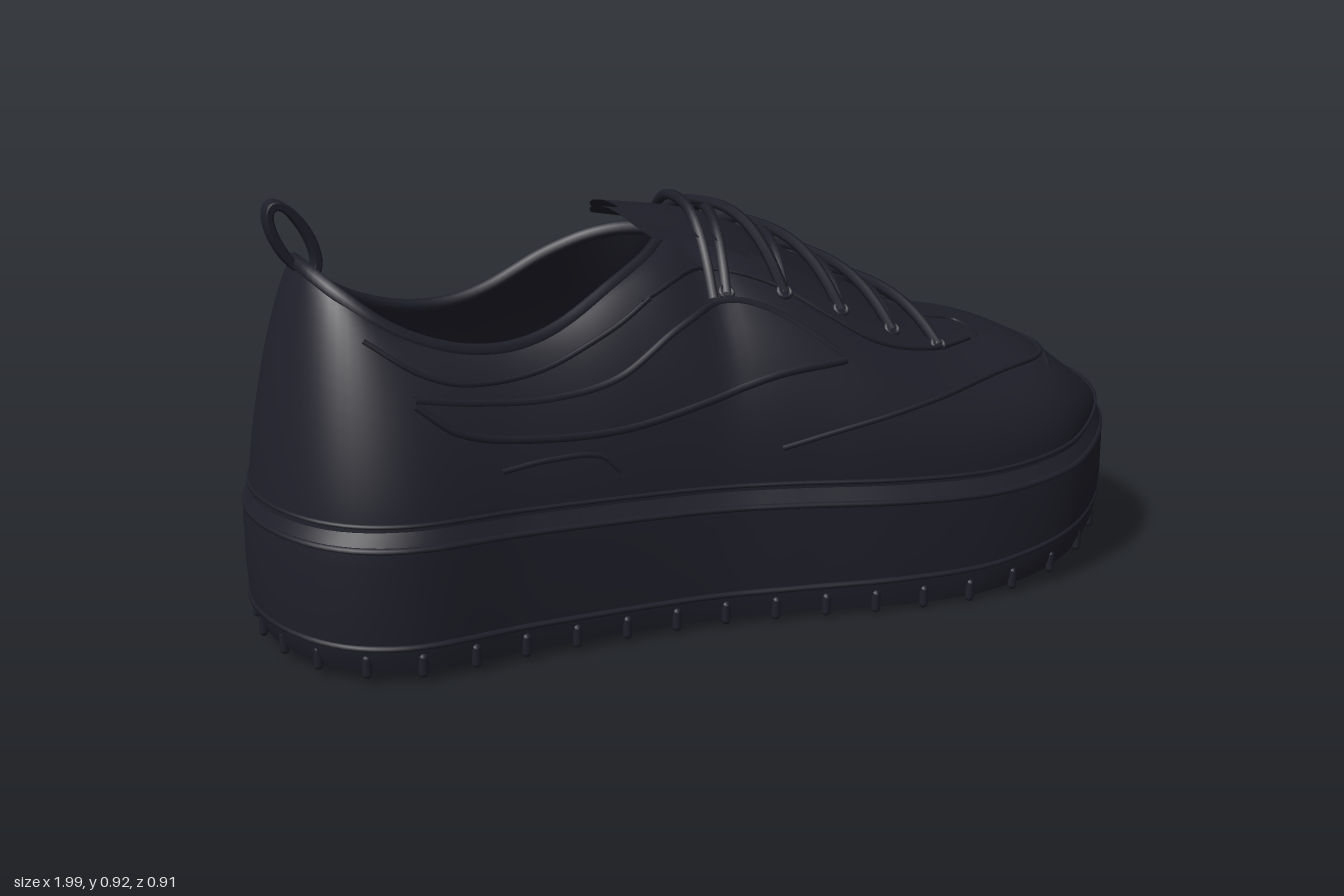
import * as THREE from 'three';

const dark = new THREE.MeshStandardMaterial({ color: 0x1f1f2a, side: THREE.DoubleSide });
dark.name = 'midnight';

// Smooth 1D curve through [x, value] points
function spline(p) {
  const slope = (i) => {
    const a = p[Math.max(i - 1, 0)], b = p[Math.min(i + 1, p.length - 1)];
    return (b[1] - a[1]) / (b[0] - a[0]);
  };
  return (x) => {
    x = Math.min(Math.max(x, p[0][0]), p[p.length - 1][0]);
    let i = 0;
    while (i < p.length - 2 && x > p[i + 1][0]) i++;
    const h = p[i + 1][0] - p[i][0], t = (x - p[i][0]) / h, t2 = t * t, t3 = t2 * t;
    return (2 * t3 - 3 * t2 + 1) * p[i][1] + (t3 - 2 * t2 + t) * h * slope(i)
      + (3 * t2 - 2 * t3) * p[i + 1][1] + (t3 - t2) * h * slope(i + 1);
  };
}

// Footprint, heel -> +z side -> toe -> -z side
const N = 180, INSET_X = 0.985, INSET_Z = 0.957;
const outline = new THREE.CatmullRomCurve3([
  [-0.995, 0], [-0.965, 0.16], [-0.89, 0.275], [-0.77, 0.332], [-0.5, 0.324], [-0.1, 0.34], [0.08, 0.376],
  [0.3, 0.425], [0.55, 0.447], [0.75, 0.412], [0.9, 0.295], [0.975, 0.15], [0.995, 0], [0.97, -0.14],
  [0.89, -0.27], [0.74, -0.385], [0.55, -0.44], [0.3, -0.453], [0.08, -0.422], [-0.1, -0.386],
  [-0.5, -0.358], [-0.78, -0.34], [-0.89, -0.28], [-0.965, -0.16],
].map(([x, z]) => new THREE.Vector3(x, 0, z)), true);
const ring = outline.getSpacedPoints(N).slice(0, N);

const soleBottom = spline([[-1, 0.03], [-0.8, 0.024], [0, 0.018], [0.45, 0.012], [0.6, 0.024], [0.75, 0.05], [1, 0.11]]);
const soleTop = spline([[-1, 0.29], [0, 0.265], [0.5, 0.247], [0.75, 0.27], [0.9, 0.31], [1, 0.33]]);
const topX = spline([[-1, -0.87], [-0.95, -0.855], [-0.88, -0.82], [-0.75, -0.735], [-0.5, -0.492], [0, 0], [1, 0.985]]);
const topY = spline([[-1, 0.8], [-0.95, 0.783], [-0.88, 0.75], [-0.8, 0.71], [-0.7, 0.663], [-0.6, 0.634], [-0.5, 0.63],
  [-0.4, 0.655], [-0.25, 0.73], [-0.1, 0.785], [0, 0.79], [0.1, 0.765], [0.2, 0.715], [0.3, 0.66], [0.4, 0.61],
  [0.5, 0.57], [0.6, 0.548], [0.72, 0.525], [0.8, 0.495], [0.9, 0.425], [1, 0.355]]);
const topZ = spline([[-1, 0], [-0.97, 0.06], [-0.9, 0.13], [-0.8, 0.175], [-0.6, 0.21], [-0.35, 0.2], [-0.2, 0.16],
  [-0.12, 0.1], [-0.05, 0], [0, 0], [1, 0]]);
const crest = spline([[-1, 0], [-0.5, -0.01], [-0.1, -0.028], [0.1, -0.028], [0.4, -0.01], [0.7, 0], [1, 0]]);
const power = spline([[-1, 1.5], [-0.5, 1.4], [0, 0.95], [0.5, 0.85], [1, 0.85]]);

// Half cross-section of the upper at station s with footprint half width w
function section(s, w) {
  const yb = soleTop(s) + 0.025;
  return { xb: s * INSET_X, yb, w: w * INSET_Z, xt: topX(s), yt: Math.max(topY(s), yb + 0.004),
    zt: Math.min(topZ(s), w * 0.9), zc: crest(s), p: power(s) };
}
const sectionZ = (q, side, c) => side * (q.zt + (q.w - q.zt) * c) + q.zc * (1 - c);
function widthAt(x, side) {
  for (let i = 0; i < N; i++) {
    const a = ring[i], b = ring[(i + 1) % N];
    if ((a.z + b.z) * side > 0 && (a.x - x) * (b.x - x) <= 0 && a.x !== b.x)
      return Math.abs(a.z + (b.z - a.z) * (x - a.x) / (b.x - a.x));
  }
  return 0;
}
// Point on the side of the upper at (x, y), pushed out by d
function onSide(x, y, side, d) {
  const s = x / INSET_X, q = section(s, widthAt(s, side));
  const f = Math.min(Math.max((y - q.yb) / (q.yt - q.yb), 0), 1), sn = Math.pow(f, 1 / q.p);
  const c = Math.pow(Math.sqrt(Math.max(0, 1 - sn * sn)), q.p);
  return new THREE.Vector3(x, y + d * 0.4 * f, sectionZ(q, side, c) + side * d);
}
// Height of the closed vamp at (x, z)
function vampY(x, z) {
  const s = x / INSET_X, side = z < crest(s) ? -1 : 1, q = section(s, widthAt(s, side));
  const c = Math.pow(Math.min((z - q.zc) / (side * q.w - q.zc), 1), 1 / q.p);
  return q.yb + (q.yt - q.yb) * Math.pow(Math.sqrt(1 - c * c), q.p);
}

// Surface from a grid of points; fn(i, j) gives a Vector3
function grid(nu, nv, closed, fn) {
  const pos = [], idx = [], cols = closed ? nu : nu + 1;
  for (let j = 0; j <= nv; j++) for (let i = 0; i < cols; i++) pos.push(...fn(i, j).toArray());
  for (let j = 0; j < nv; j++) for (let i = 0; i < nu; i++) {
    const a = j * cols + i, b = j * cols + (i + 1) % cols;
    idx.push(a, b, b + cols, a, b + cols, a + cols);
  }
  const g = new THREE.BufferGeometry();
  g.setAttribute('position', new THREE.Float32BufferAttribute(pos, 3));
  g.setIndex(idx);
  g.computeVertexNormals();
  return g;
}

export function createModel() {
  const shoe = new THREE.Group();
  shoe.name = 'shoe';
  const V = (x, y, z) => new THREE.Vector3(x, y, z);
  const add = (name, geo) => {
    const m = new THREE.Mesh(geo, dark);
    m.name = name;
    shoe.add(m);
    return m;
  };
  const tube = (name, pts, r, closed = false, seg = 60) =>
    add(name, new THREE.TubeGeometry(new THREE.CatmullRomCurve3(pts, closed), seg, r, 6, closed));

  // Sole: wall, top ledge and underside
  const wall = [[0.975, 0], [0.99, 0.12], [0.996, 0.25], [1, 0.5], [1, 0.85], [0.995, 1]];
  add('soleWall', grid(N, wall.length - 1, true, (i, j) => {
    const p = ring[i], [k, t] = wall[j], b = soleBottom(p.x);
    return V(p.x * k, b + (soleTop(p.x) - b) * t, p.z * k);
  }));
  add('soleLedge', grid(N, 2, true, (i, j) => {
    const p = ring[i], t = j / 2;
    return V(p.x * (0.995 - 0.012 * t), soleTop(p.x) + 0.03 * t, p.z * (0.995 - 0.04 * t));
  }));
  add('outsole', grid(N, 6, true, (i, j) => {
    const p = ring[i];
    return V(p.x * 0.975, soleBottom(p.x), p.z * 0.975 * j / 6);
  }));
  const rim = (name, kx, kz, r, y) => tube(name, ring.filter((_, i) => i % 3 === 0).map((p) => V(p.x * kx, y(p.x), p.z * kz)), r, true, 180);
  rim('soleUpperRim', 0.994, 0.995, 0.007, (x) => soleTop(x) - 0.005);
  rim('soleLowerRim', 0.993, 0.994, 0.007, (x) => soleBottom(x) + 0.055 + 0.02 * Math.max(0, x));
  rim('foxingSeam', INSET_X, INSET_Z + 0.001, 0.005, (x) => soleTop(x) + 0.04);

  // Tread lugs around the bottom edge
  outline.getSpacedPoints(44).slice(0, 44).forEach((p) => {
    const lug = add('treadLug', new THREE.CapsuleGeometry(0.01, 0.032, 3, 8));
    lug.position.set(p.x * 0.982, soleBottom(p.x) + 0.015, p.z * 0.982);
  });

  // Upper
  add('upper', grid(N, 20, true, (i, j) => {
    const p = ring[i], q = section(p.x, Math.abs(p.z)), a = j / 20 * Math.PI / 2;
    const c = Math.pow(Math.max(0, Math.cos(a)), q.p), f = Math.pow(Math.sin(a), q.p);
    return V(q.xt + (q.xb - q.xt) * c, q.yb + (q.yt - q.yb) * f, sectionZ(q, Math.sign(p.z), c));
  }));

  // Padded collar, lining and insole
  const topEdgeZ = (p) => Math.sign(p.z) * Math.min(topZ(p.x), Math.abs(p.z) * 0.9) + crest(p.x);
  const collar = ring.filter((p) => p.x < -0.06);
  const front = collar.findIndex((p) => p.z < -0.01 && p.x > -0.2);
  const rimPts = [...collar.slice(front), ...collar.slice(0, front)].map((p) => V(topX(p.x), topY(p.x) - 0.006, topEdgeZ(p)));
  tube('collar', rimPts.filter((_, i) => i % 2 === 0), 0.016, false, 120);
  const floorY = 0.34;
  add('lining', grid(N, 10, true, (i, j) => {
    const p = ring[i], t = j / 10, k = Math.sin(t * Math.PI / 2), x = topX(p.x), z = topEdgeZ(p);
    const padding = 0.1 * Math.sin(Math.PI * t) * Math.max(0, -p.x - 0.6) / 0.4;
    return V(x + (p.x * 0.88 - x) * k + padding, (topY(p.x) - 0.012) * (1 - t) + floorY * t, z + (p.z * 0.8 - z) * k);
  }));
  add('insole', grid(N, 1, true, (i, j) => V(ring[i].x * 0.88, floorY, ring[i].z * 0.8 * (1 - j))));

  // Tongue
  const tongueMid = spline([[-0.19, 0.855], [0, 0.825], [0.1, 0.79], [0.2, 0.738], [0.3, 0.68], [0.44, 0.602]]);
  const tongueDrop = spline([[-0.19, 1.2], [0, 1.6], [0.2, 2.2], [0.44, 2.2]]);
  for (const [name, dy] of [['tongue', 0], ['tongueLining', -0.014]]) {
    add(name, grid(24, 14, false, (i, j) => {
      const v = j / 14 * 2 - 1, x0 = -0.185 + 0.03 * v ** 4, x = x0 + (0.43 - x0) * i / 24, z = -v * 0.165;
      return V(x, tongueMid(x) - tongueDrop(x) * z * z + dy, z + crest(x));
    }));
  }

  // Laces arching across between five pairs of eyelets
  const lace = (x0, z0, x1, z1, lift) => {
    const y0 = vampY(x0, z0), y1 = vampY(x1, z1);
    const rise = tongueMid((x0 + x1) / 2) + lift - (y0 + y1) / 2;
    tube('lace', Array.from({ length: 13 }, (_, k) => {
      const t = k / 12;
      return V(x0 + (x1 - x0) * t, y0 + (y1 - y0) * t + rise * (1 - Math.abs(2 * t - 1) ** 2.6), z0 + (z1 - z0) * t);
    }), 0.012, false, 32);
  };
  const eyelets = [-0.02, 0.11, 0.24, 0.36, 0.47];
  const eyeletZ = (i, s) => (s > 0 ? 0.205 + 0.014 * i : -0.26);
  eyelets.forEach((x, i) => {
    for (const s of [1, -1]) {
      const z = eyeletZ(i, s);
      if (i < 4) lace(x, z, eyelets[i + 1], eyeletZ(i + 1, -s), s > 0 ? 0.014 : 0.026);
      const eyelet = add('eyelet', new THREE.TorusGeometry(0.014, 0.005, 6, 14));
      eyelet.position.set(x, vampY(x, z) + 0.004, z);
      eyelet.rotation.x = -s * 0.67;
    }
  });
  lace(-0.05, eyeletZ(0, 1), 0, eyeletZ(0, -1), 0.022);
  lace(0.47, eyeletZ(4, 1), 0.47, eyeletZ(4, -1), 0.006);

  // Side panels and stitched seams, on both sides
  const panelTop = spline([[-0.72, 0.555], [-0.6, 0.535], [-0.45, 0.525], [-0.3, 0.55], [-0.15, 0.635], [-0.02, 0.672], [0.08, 0.64], [0.2, 0.552]]);
  const panelLow = spline([[-0.72, 0.545], [-0.64, 0.485], [-0.5, 0.455], [-0.3, 0.452], [-0.1, 0.49], [0.05, 0.53], [0.2, 0.545]]);
  const seams = [
    [[0.04, 0.38], [0.2, 0.415], [0.4, 0.45], [0.6, 0.475], [0.8, 0.478]],
    [[-0.22, 0.69], [-0.1, 0.73], [0, 0.725], [0.1, 0.69], [0.2, 0.625], [0.3, 0.565], [0.45, 0.53], [0.58, 0.525]],
    [[-0.8, 0.67], [-0.7, 0.6], [-0.6, 0.57], [-0.45, 0.58], [-0.3, 0.64], [-0.2, 0.695]],
    [[-0.56, 0.4], [-0.45, 0.41], [-0.35, 0.405], [-0.31, 0.37]],
  ];
  for (const s of [1, -1]) {
    const at = (i) => -0.72 + 0.92 * i / 40;
    add('sidePanel', grid(40, 6, false, (i, j) => {
      const x = at(i), v = s > 0 ? j / 6 : 1 - j / 6;
      return onSide(x, panelLow(x) + (panelTop(x) - panelLow(x)) * v, s, 0.008);
    }));
    for (const edge of [panelTop, panelLow])
      tube('panelEdge', Array.from({ length: 41 }, (_, i) => onSide(at(i), edge(at(i)), s, 0.004)), 0.009, false, 80);
    for (const path of seams) {
      const y = spline(path), a = path[0][0], b = path[path.length - 1][0];
      tube('seam', Array.from({ length: 25 }, (_, i) => a + (b - a) * i / 24).map((x) => onSide(x, y(x), s, 0.001)), 0.006);
    }
  }

  // Toe cap seam and notched seam ahead of the laces
  const across = (name, pts, r) => tube(name, pts.map(([x, z]) => V(x, vampY(x, z) + 0.001, z)), r, false, 90);
  across('toeSeam', Array.from({ length: 25 }, (_, i) => -0.3 + 0.6 * i / 24).map((z) => [0.82 - 0.9 * z * z, z]), 0.006);
  across('notchSeam', [[0.6, -0.22], [0.62, -0.17], [0.615, -0.11], [0.6, -0.1], [0.53, -0.1], [0.52, -0.09], [0.52, 0],
    [0.52, 0.09], [0.53, 0.1], [0.6, 0.1], [0.615, 0.11], [0.62, 0.17], [0.6, 0.22]], 0.004);

  // Heel pull loop
  const loop = new THREE.Shape().absellipse(0, 0, 0.04, 0.088, 0, Math.PI * 2);
  loop.holes.push(new THREE.Path().absellipse(0, 0, 0.021, 0.068, 0, Math.PI * 2));
  const strap = new THREE.ExtrudeGeometry(loop, { depth: 0.036, bevelSize: 0.004, bevelThickness: 0.005, bevelOffset: -0.004, bevelSegments: 2, curveSegments: 24 });
  strap.translate(0, 0, -0.018);
  const tab = add('pullLoop', strap);
  tab.position.set(-0.876, 0.84, 0);
  tab.rotation.z = 0.5;
  return shoe;
}
